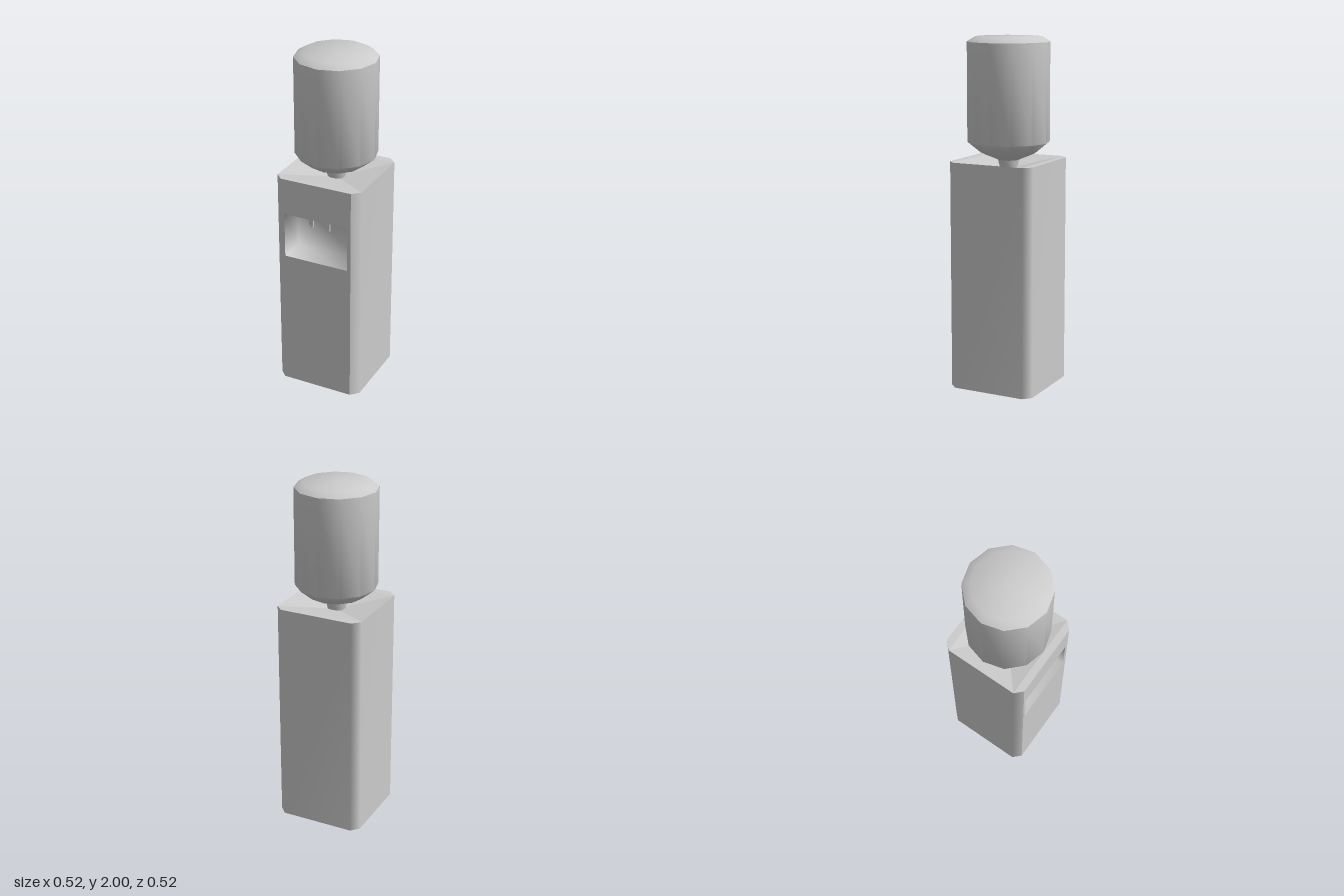
import * as THREE from 'three';
import { mergeVertices, toCreasedNormals } from 'three/addons/utils/BufferGeometryUtils.js';

const W = 0.258, C = 0.215, H = 1.31; // cabinet half width, start of corner chamfer, height
const NICHE = { x0: -0.196, x1: 0.193, y0: 0.83, y1: 1.096, depth: 0.16 };

export function createModel() {
  const model = new THREE.Group();
  const grey = new THREE.MeshStandardMaterial({ color: 0xcccccc });
  const greyDouble = new THREE.MeshStandardMaterial({ color: 0xcccccc, side: THREE.DoubleSide });

  const add = (name, geometry, material = grey, parent = model) => {
    const mesh = new THREE.Mesh(geometry, material);
    mesh.name = name;
    parent.add(mesh);
    return mesh;
  };
  const indexed = (points, index) => {
    const g = new THREE.BufferGeometry();
    g.setAttribute('position', new THREE.Float32BufferAttribute(points.flat(), 3));
    g.setIndex(index);
    g.computeVertexNormals();
    return g;
  };

  // Side and back walls with chamfered corners, running round from the front edge
  const outline = [[C, W], [W, C], [W, -C], [C, -W], [-C, -W], [-W, -C], [-W, C], [-C, W]];
  const wallPoints = [], wallIndex = [];
  outline.forEach(([x, z], i) => {
    wallPoints.push([x, 0, z], [x, H, z]);
    if (i < outline.length - 1) {
      const a = 2 * i;
      wallIndex.push(a, a + 2, a + 3, a, a + 3, a + 1);
    }
  });
  add('cabinetWalls', indexed(wallPoints, wallIndex));

  // Front panel with the dispensing opening
  const { x0, x1, y0, y1, depth } = NICHE;
  const panel = new THREE.Shape([[-C, 0], [C, 0], [C, H], [-C, H]].map((p) => new THREE.Vector2(...p)));
  panel.holes.push(new THREE.Path([[x0, y0], [x0, y1], [x1, y1], [x1, y0]].map((p) => new THREE.Vector2(...p))));
  add('frontPanel', new THREE.ShapeGeometry(panel)).position.z = W;

  // Open-fronted recess, softly shaded inside
  let niche = new THREE.BoxGeometry(x1 - x0, y1 - y0, depth);
  const faces = Array.from(niche.index.array);
  faces.splice(24, 6);
  niche.setIndex(faces.reverse());
  niche.deleteAttribute('normal');
  niche.deleteAttribute('uv');
  niche = mergeVertices(niche);
  niche.computeVertexNormals();
  add('dispensingNiche', niche).position.set((x0 + x1) / 2, (y0 + y1) / 2, W - depth / 2);

  // Base
  const base = new THREE.ShapeGeometry(new THREE.Shape(outline.map(([x, z]) => new THREE.Vector2(x, z))));
  base.rotateX(Math.PI / 2);
  add('base', base);

  // Top: narrow front and back ledges around a shallow four-sided dish
  for (const s of [1, -1]) {
    const ledge = indexed(
      [[-C * s, H, W * s], [C * s, H, W * s], [W * s, H, C * s], [-W * s, H, C * s]],
      [0, 1, 2, 0, 2, 3]
    );
    add(s > 0 ? 'frontLedge' : 'backLedge', ledge, greyDouble);
  }
  const dish = indexed(
    [[W, H, C], [W, H, -C], [-W, H, -C], [-W, H, C], [0, H - 0.05, 0]],
    [0, 1, 4, 1, 2, 4, 2, 3, 4, 3, 0, 4]
  );
  add('topDish', toCreasedNormals(dish, 0.1), greyDouble);

  // Upturned twelve-sided bottle
  const profile = [[0, 1.265], [0.05, 1.265], [0.06, H], [0.16, 1.352], [0.233, 1.412], [0.233, 1.972], [0.19, 2], [0, 2]];
  const bottle = new THREE.LatheGeometry(profile.map((p) => new THREE.Vector2(...p)), 12);
  add('waterBottle', toCreasedNormals(bottle, 0.9));

  // Pair of taps hanging from the recess ceiling
  for (const [name, x] of [['rightTap', -0.05], ['leftTap', 0.053]]) {
    const tap = new THREE.Group();
    tap.name = name;
    tap.position.set(x, 0, 0.2);
    add('spout', new THREE.CylinderGeometry(0.011, 0.008, 0.078, 8), grey, tap).position.y = 1.059;
    add('lever', new THREE.BoxGeometry(0.024, 0.034, 0.012), grey, tap).position.set(0, 1.056, 0.012);
    model.add(tap);
  }
  return model;
}
